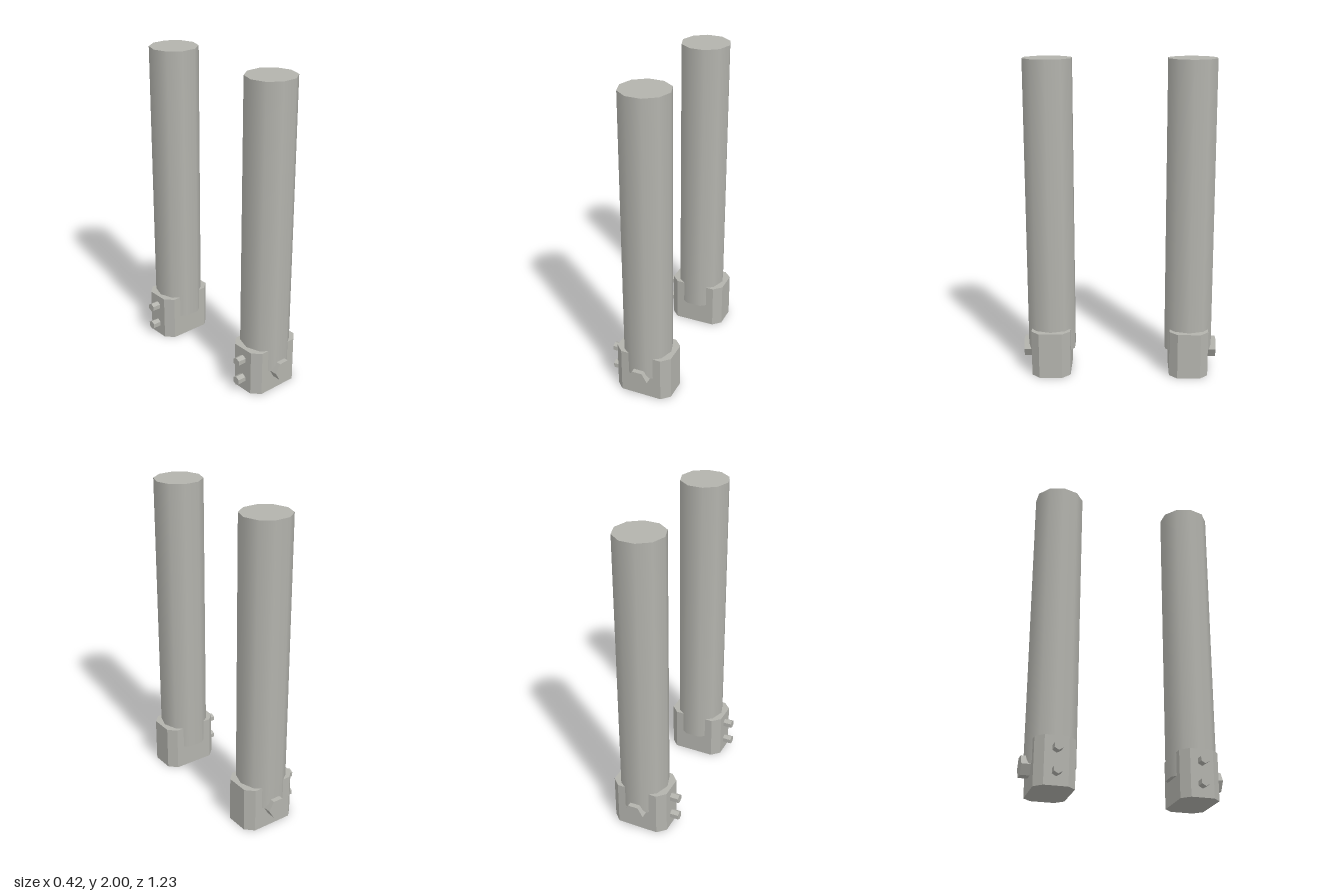
import * as THREE from 'three';

const CX = 0.027, CZ = 0.438;

export function createModel() {
  const model = new THREE.Group();
  const steel = new THREE.MeshStandardMaterial({ color: 0xb3b3ad });
  steel.name = 'grey steel';

  const add = (parent, name, geometry, x, y, z) => {
    const mesh = new THREE.Mesh(geometry, steel);
    mesh.name = name;
    mesh.position.set(x, y, z);
    parent.add(mesh);
  };

  // Ten-sided post with smooth sides
  const postGeo = new THREE.CylinderGeometry(0.155, 0.155, 1.85, 10).rotateY(Math.PI / 2);

  // Base block with chamfered upright corners
  const w = 0.183, d = 0.1225, c = 0.05;
  const outline = new THREE.Shape([
    [w, -d + c], [w, d - c], [w - c, d], [-w + c, d],
    [-w, d - c], [-w, -d + c], [-w + c, -d], [w - c, -d],
  ].map(([x, y]) => new THREE.Vector2(x, y)));
  const baseGeo = new THREE.ExtrudeGeometry(outline, { depth: 0.295, bevelEnabled: false })
    .rotateX(-Math.PI / 2);

  // Hexagonal bolts: a large one along z, small ones along x
  const hex = (r, length) => new THREE.CylinderGeometry(r, r, length, 6).toNonIndexed();
  const boltGeo = hex(0.067, 0.117).rotateY(Math.PI / 2).rotateX(Math.PI / 2);
  const pegGeo = hex(0.029, 0.08).rotateZ(Math.PI / 2);
  // Put the peg's corners at top and bottom
  pegGeo.computeBoundingBox();
  const size = pegGeo.boundingBox.getSize(new THREE.Vector3());
  if (size.z > size.y) pegGeo.rotateX(Math.PI / 2);
  boltGeo.computeVertexNormals();
  pegGeo.computeVertexNormals();

  // Front and back posts, with the large bolts facing outward
  for (const side of [1, -1]) {
    const post = new THREE.Group();
    post.name = side > 0 ? 'frontPost' : 'backPost';
    add(post, 'post', postGeo, CX, 1.075, side * CZ);
    add(post, 'base', baseGeo, CX, 0, side * CZ);
    add(post, 'largeBolt', boltGeo, CX, 0.148, side * 0.5585);
    for (const y of [0.083, 0.22]) add(post, 'smallBolt', pegGeo, -0.172, y, side * CZ);
    model.add(post);
  }
  return model;
}
